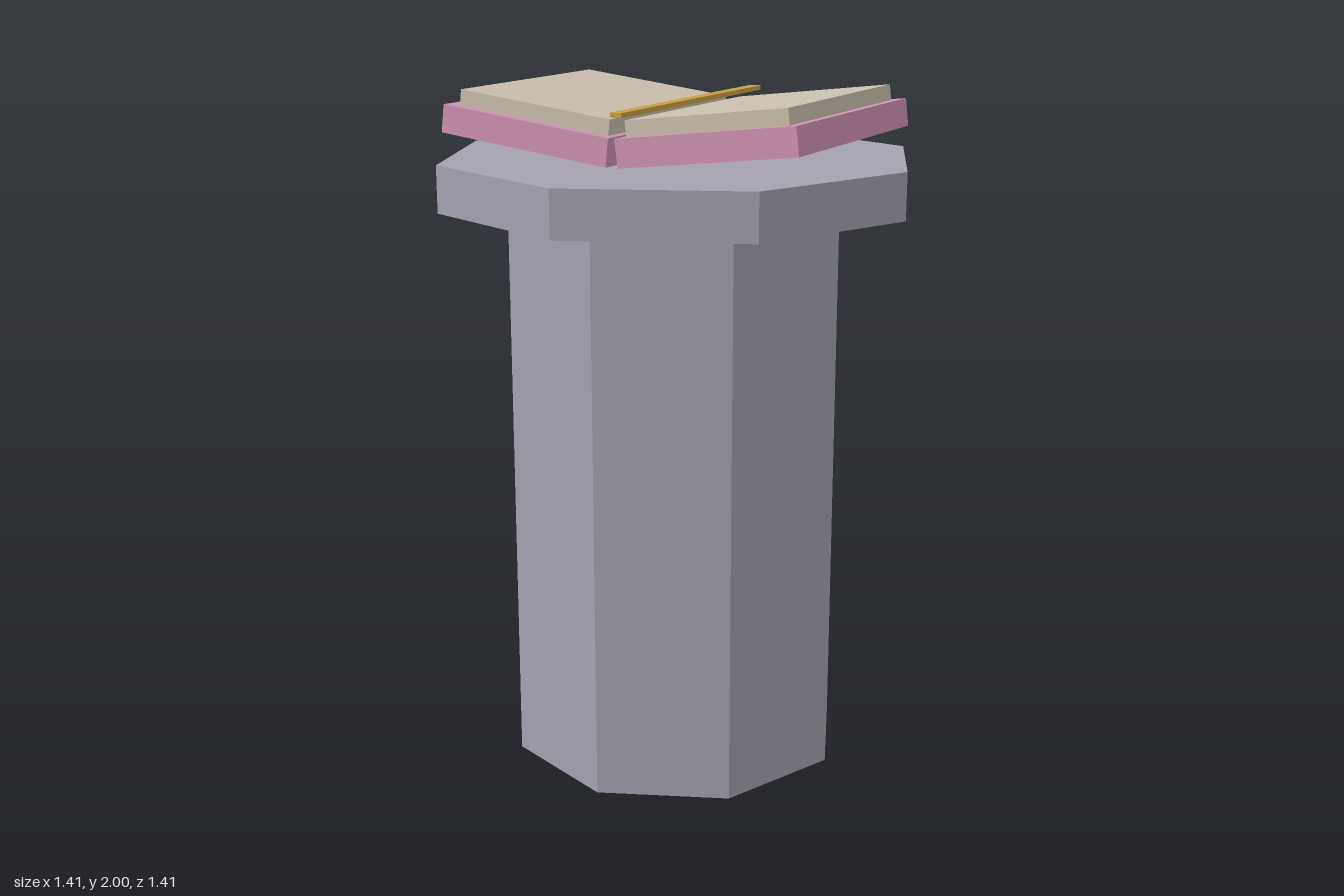
import * as THREE from 'three';

export function createModel() {
  const model = new THREE.Group();
  model.name = 'lectern';

  const material = (name, color, flatShading = false) => {
    const m = new THREE.MeshStandardMaterial({ color, flatShading });
    m.name = name;
    return m;
  };
  const stone = material('stone', 0xa5a1b0, true);
  const coverPink = material('coverPink', 0xd092b2);
  const paper = material('paper', 0xcabfad);
  const gold = material('gold', 0xc8a043);

  const add = (parent, name, geometry, mat, x, y, z) => {
    const mesh = new THREE.Mesh(geometry, mat);
    mesh.name = name;
    mesh.position.set(x, y, z);
    parent.add(mesh);
    return mesh;
  };

  // Octagonal column and wider top slab, corners on the axes
  add(model, 'column', new THREE.CylinderGeometry(0.505, 0.505, 1.67, 8), stone, 0, 0.835, 0);
  add(model, 'topSlab', new THREE.CylinderGeometry(0.705, 0.705, 0.135, 8), stone, 0, 1.737, 0);

  // Open book: two mirrored halves tilted up towards the outside
  const book = new THREE.Group();
  book.name = 'openBook';
  model.add(book);
  for (const [side, s] of [['left', 1], ['right', -1]]) {
    const half = new THREE.Group();
    half.name = `${side}BookHalf`;
    half.position.set(s * 0.2825, 1.888, 0);
    half.rotation.z = s * 0.12;
    book.add(half);
    add(half, `${side}Cover`, new THREE.BoxGeometry(0.54, 0.08, 0.77), coverPink, 0, 0, 0);
    add(half, `${side}Pages`, new THREE.BoxGeometry(0.488, 0.046, 0.705), paper, s * -0.0075, 0.062, 0);
  }

  // Ribbon bookmark reaching past the front edge
  add(book, 'bookmark', new THREE.BoxGeometry(0.034, 0.013, 0.84), gold, 0.083, 1.974, 0.083);

  return model;
}
